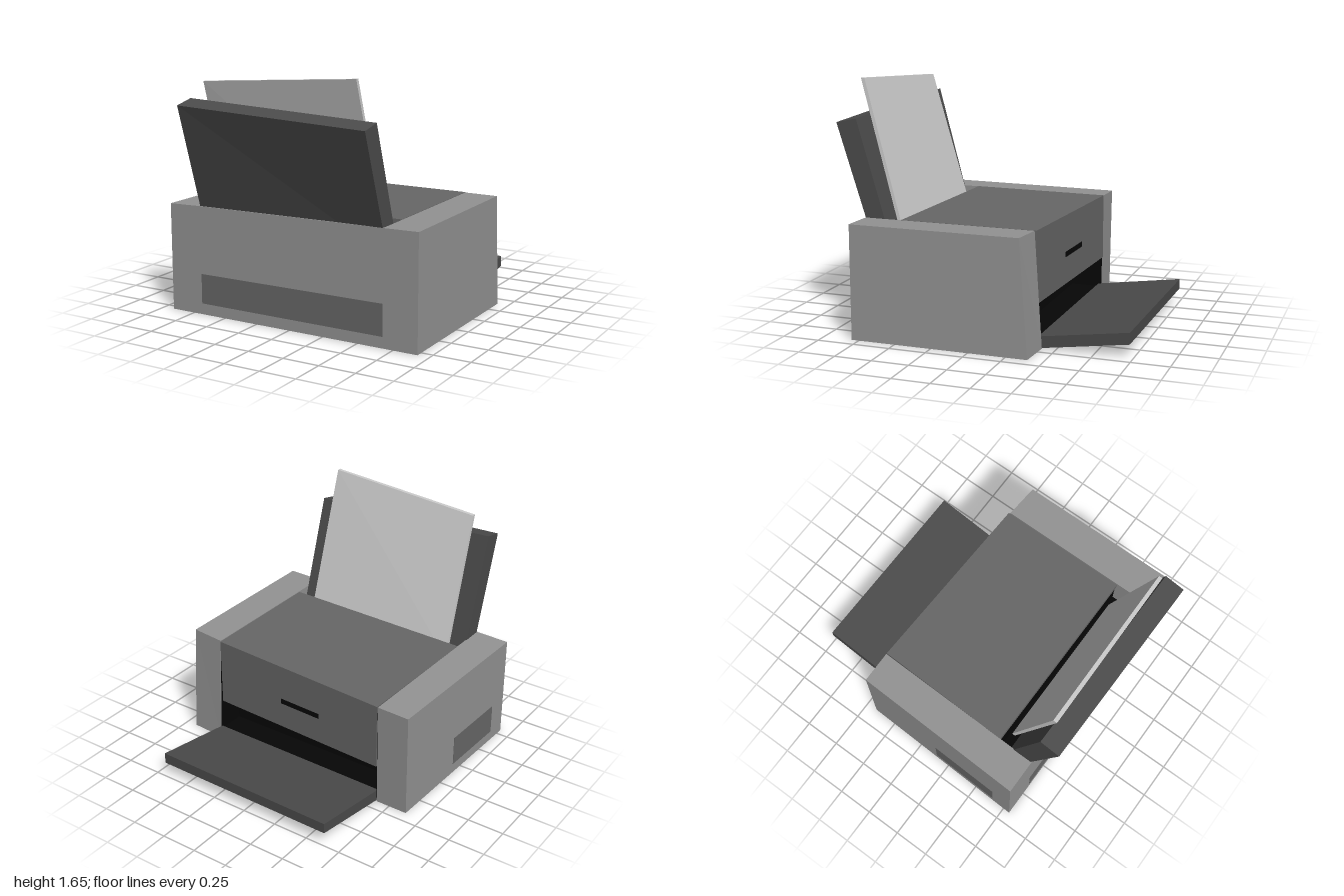
import * as THREE from 'three';

const BODY = 0x939393, COVER = 0x676767, TRAY = 0x4b4b4b, PAPER = 0xffffff, DARK = 0x060606;

// Prism along x between two matching side profiles.
// Profile rows are [z, y] or [z, y, x] where a corner leaves the end plane.
function prism(name, color, xa, a, xb, b = a) {
  const outline = a.map(([z, y]) => new THREE.Vector2(y, z));
  const order = a.map((_, i) => i);
  if (THREE.ShapeUtils.isClockWise(outline)) {
    order.reverse();
    outline.reverse();
  }
  const end = (rows, x0) => order.map((i) => {
    const [z, y, x = x0] = rows[i];
    return [x, y, z];
  });
  const A = end(a, xa), B = end(b, xb), n = A.length, pos = [];
  const tri = (...points) => points.forEach((p) => pos.push(...p));
  for (let i = 0; i < n; i++) {
    const j = (i + 1) % n;
    tri(A[i], A[j], B[j]);
    tri(A[i], B[j], B[i]);
  }
  for (const [i, j, k] of THREE.ShapeUtils.triangulateShape(outline, [])) {
    tri(B[i], B[j], B[k]);
    tri(A[k], A[j], A[i]);
  }
  const geometry = new THREE.BufferGeometry();
  geometry.setAttribute('position', new THREE.Float32BufferAttribute(pos, 3));
  geometry.computeVertexNormals();
  const mesh = new THREE.Mesh(geometry, new THREE.MeshStandardMaterial({ color }));
  mesh.name = name;
  return mesh;
}

export function createModel() {
  const group = new THREE.Group();
  group.name = 'printer';

  // Side housings, slightly askew
  group.add(prism('rightHousing', BODY,
    -0.92, [[0.8, 0], [0.8, 0.728], [-0.43, 0.728, -0.88], [-0.42, 0, -0.88]],
    -0.68, [[0.8, 0], [0.8, 0.735], [-0.43, 0.735, -0.655], [-0.42, 0, -0.655]]));
  group.add(prism('leftHousing', BODY,
    0.68, [[0.8, 0], [0.8, 0.757], [-0.36, 0.757], [-0.41, 0]],
    0.92, [[0.8, 0], [0.8, 0.762], [-0.34, 0.762], [-0.395, 0]]));

  // Floor and upright wall joining the housings
  const shell = (y) => [[-0.4, 0], [0.8, 0], [0.8, y], [0.77, y], [0.77, 0.03], [-0.4, 0.03]];
  group.add(prism('floorAndWall', BODY, -0.68, shell(0.735), 0.68, shell(0.757)));

  // Dark interior: floor of the paper exit, core, and step under the paper feed
  group.add(prism('interior', DARK, -0.675,
    [[-0.395, 0.03], [0.77, 0.03], [0.77, 0.5], [0.54, 0.5], [0.54, 0.69],
      [-0.2, 0.69], [-0.2, 0.06], [-0.395, 0.06]], 0.678));

  // Dark cheeks lining the paper exit
  const cheek = (x, skew) => [[-0.19, 0.03, x], [-0.19, 0.69, x],
    [-0.36, 0.69, x + skew], [-0.4, 0.03, x + skew]];
  group.add(prism('leftCheek', DARK, 0, cheek(0.676, 0), 0, cheek(0.684, 0)));
  group.add(prism('rightCheek', DARK,
    -0.675, [[-0.19, 0.03], [-0.19, 0.69], [-0.429, 0.69, -0.66], [-0.419, 0.03, -0.66]],
    -0.655, [[-0.19, 0.03], [-0.19, 0.69], [-0.429, 0.69, -0.652], [-0.419, 0.03, -0.652]]));

  // Cover: top plate bent down into the panel above the paper exit
  group.add(prism('cover', COVER,
    -0.676, [[0.54, 0.736], [-0.43, 0.736, -0.649], [-0.43, 0.28, -0.649],
      [-0.37, 0.28, -0.649], [-0.37, 0.686, -0.649], [0.54, 0.686]],
    0.675, [[0.55, 0.757], [-0.37, 0.757], [-0.37, 0.28],
      [-0.31, 0.28], [-0.31, 0.707], [0.55, 0.707]]));
  group.add(prism('panelSlot', DARK,
    -0.18, [[-0.412, 0.465], [-0.412, 0.5], [-0.38, 0.5], [-0.38, 0.465]],
    0.14, [[-0.398, 0.465], [-0.398, 0.5], [-0.37, 0.5], [-0.37, 0.465]]));

  // Leaning feed tray and the sheet standing just clear of it
  group.add(prism('feedTray', TRAY,
    -0.68, [[0.74, 0.55], [0.615, 0.59], [0.85, 1.45, -0.695], [0.99, 1.42, -0.695]],
    0.68, [[0.732, 0.55], [0.615, 0.59], [0.86, 1.4, 0.667], [1, 1.37, 0.667]]));
  group.add(prism('paper', PAPER,
    -0.57, [[0.585, 0.59], [0.565, 0.6], [0.85, 1.57], [0.877, 1.57]],
    0.577, [[0.585, 0.59], [0.565, 0.6], [0.855, 1.65, 0.54], [0.88, 1.65, 0.54]]));

  // Output tray, rising away from the body
  group.add(prism('outputTray', TRAY,
    -0.65, [[-0.4, 0.002], [-0.4, 0.08], [-1, 0.17, -0.64], [-1, 0.1, -0.64]],
    0.68, [[-0.395, 0.002], [-0.385, 0.078], [-0.98, 0.168, 0.69], [-0.98, 0.092, 0.69]]));

  // Vent panels
  group.add(prism('wallVent', COVER,
    -0.68, [[0.79, 0.075], [0.802, 0.075], [0.802, 0.277], [0.79, 0.277]],
    0.68, [[0.79, 0.075], [0.802, 0.075], [0.802, 0.285], [0.79, 0.285]]));
  const ventSide = (dx) => [[0.65, 0.07, -0.915 + dx], [0.65, 0.28, -0.915 + dx],
    [0.15, 0.28, -0.899 + dx], [0.15, 0.07, -0.899 + dx]];
  group.add(prism('sideVent', COVER, 0, ventSide(-0.002), 0, ventSide(0.02)));

  return group;
}
